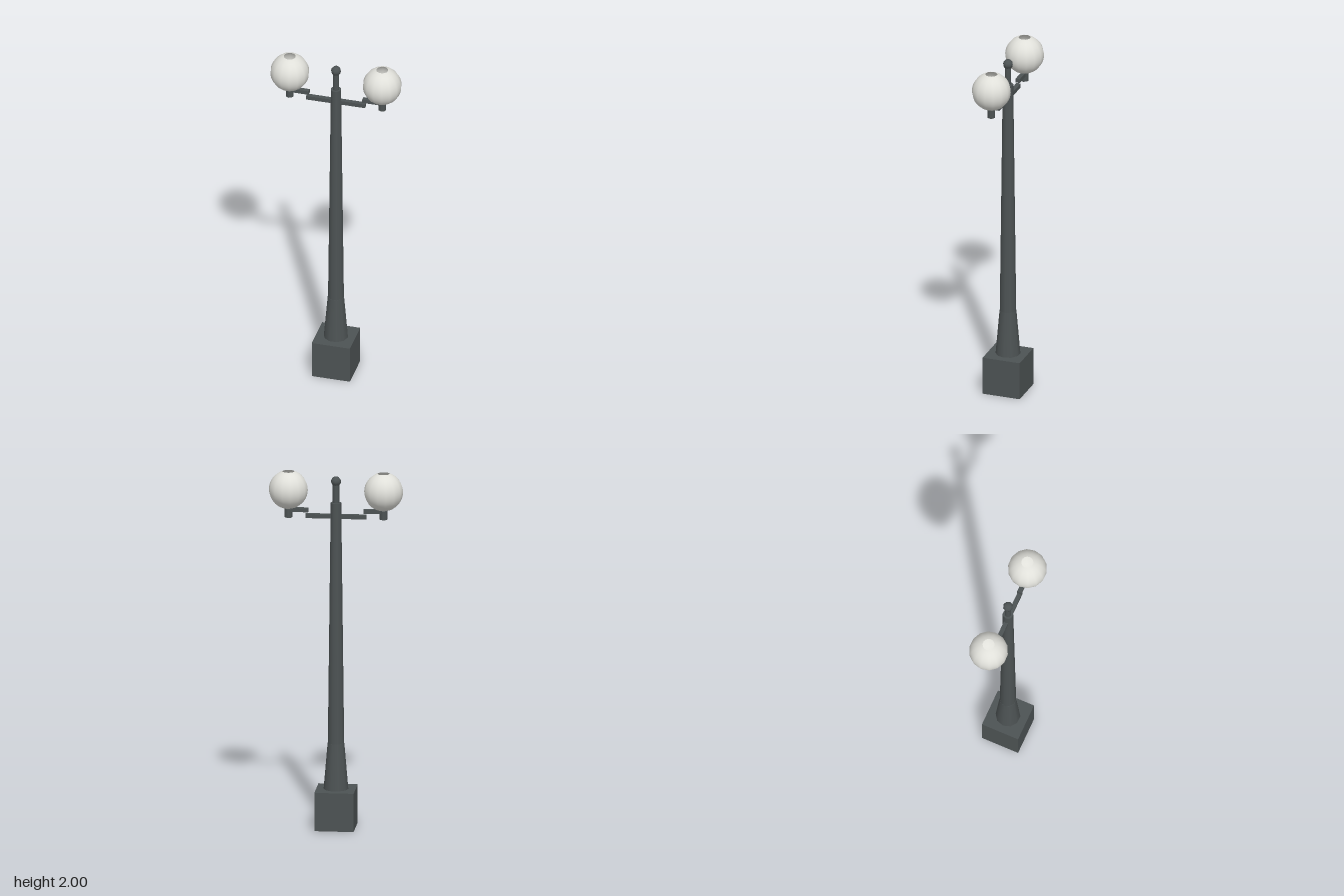
import * as THREE from 'three';

export function createModel() {
  const model = new THREE.Group();
  model.name = 'streetLamp';

  const metal = new THREE.MeshStandardMaterial({ color: 0x4d5354 });
  metal.name = 'dark iron';
  const glass = new THREE.MeshStandardMaterial({ color: 0xe0e0da, side: THREE.DoubleSide });
  glass.name = 'milky glass';

  const add = (name, geometry, material, x, y, z = 0, parent = model) => {
    const mesh = new THREE.Mesh(geometry, material);
    mesh.name = name;
    mesh.position.set(x, y, z);
    parent.add(mesh);
    return mesh;
  };

  // Tapered round section standing between two heights, a corner on the x axis
  const column = (name, rTop, rBottom, y0, y1, sides, x = 0, parent = model) => {
    const geometry = new THREE.CylinderGeometry(rTop, rBottom, y1 - y0, sides);
    geometry.rotateY(Math.PI / 2);
    return add(name, geometry, metal, x, (y0 + y1) / 2, 0, parent);
  };

  // Square plinth and ten-sided post
  add('plinth', new THREE.BoxGeometry(0.216, 0.216, 0.216), metal, 0, 0.108);
  column('postFoot', 0.046, 0.068, 0.216, 0.475, 10);
  column('postShaft', 0.029, 0.045, 0.475, 1.83, 10);

  // Finial: thin stem with a small ball
  column('finialStem', 0.018, 0.018, 1.83, 1.94, 8);
  const ball = [[0, -0.024], [0.015, -0.024], [0.025, -0.012], [0.028, 0],
    [0.025, 0.012], [0.015, 0.024], [0, 0.024]];
  add('finialBall', new THREE.LatheGeometry(ball.map(([r, y]) => new THREE.Vector2(r, y)), 8),
    metal, 0, 1.95);

  // Crossbar through the post
  add('crossbar', new THREE.BoxGeometry(0.334, 0.023, 0.025), metal, 0, 1.753);

  // Stepped arm, holder and globe on each side
  for (const side of [1, -1]) {
    const lamp = new THREE.Group();
    lamp.name = side > 0 ? 'leftLamp' : 'rightLamp';
    model.add(lamp);
    add('upperArm', new THREE.BoxGeometry(0.111, 0.022, 0.025), metal, side * 0.2075, 1.785, 0, lamp);
    column('globeHolder', 0.022, 0.022, 1.742, 1.79, 8, side * 0.262, lamp);

    // Globe is open at the top and at the bottom
    const hole = Math.asin(0.033 / 0.107);
    const globe = new THREE.SphereGeometry(0.107, 14, 16, 0, Math.PI * 2, hole, Math.PI - 2 * hole);
    add('globe', globe, glass, side * 0.262, 1.898, 0, lamp);
  }
  return model;
}
